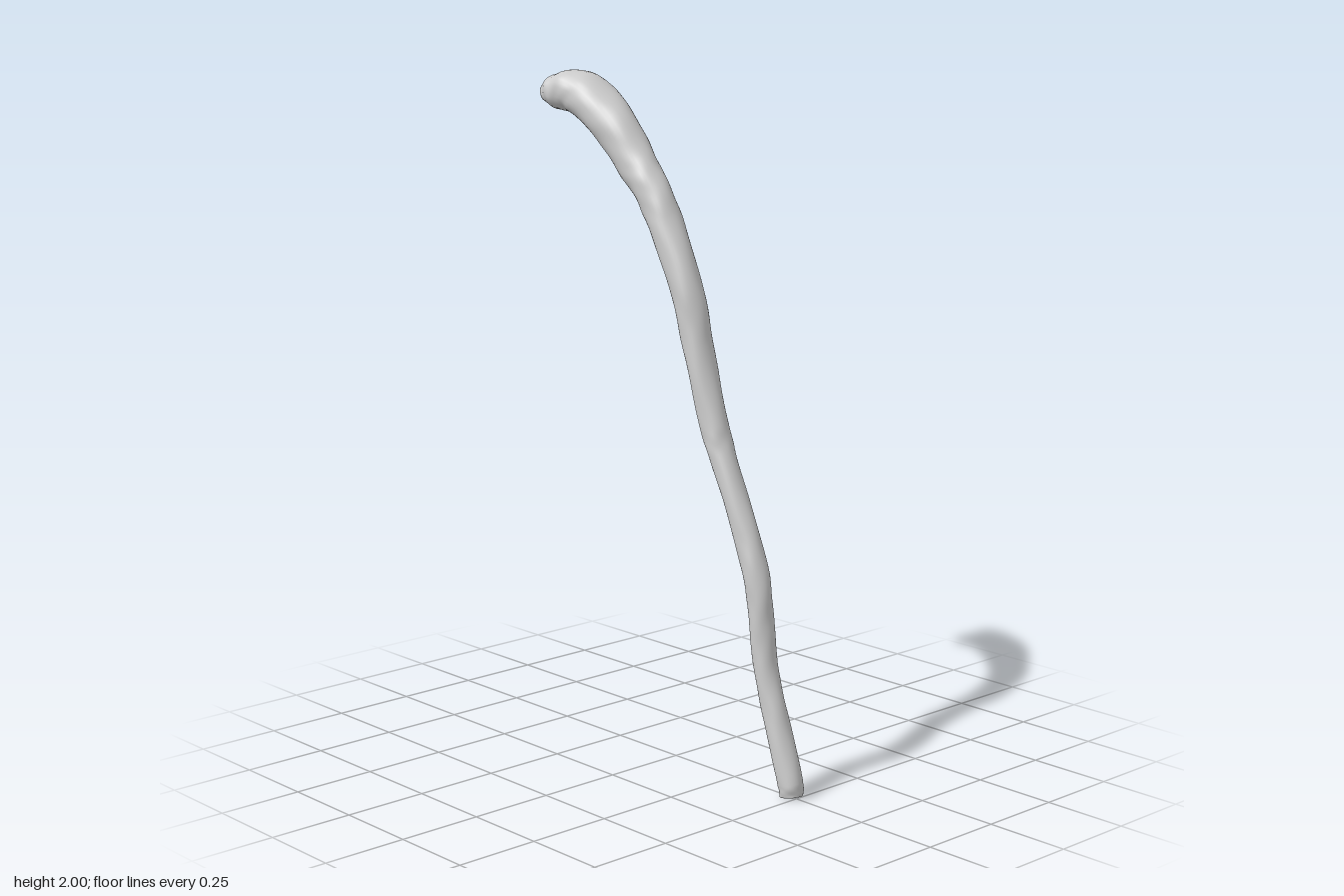
import * as THREE from 'three';

// Stations along the stick: centre z, centre y, half depth, half width
const STATIONS = [
  [0.481, 0.006, 0.033, 0.033],
  [0.476, 0.04, 0.037, 0.037],
  [0.420, 0.208, 0.035, 0.036],
  [0.375, 0.355, 0.034, 0.036],
  [0.357, 0.48, 0.034, 0.037],
  [0.337, 0.605, 0.038, 0.037],
  [0.290, 0.733, 0.037, 0.037],
  [0.198, 0.935, 0.036, 0.039],
  [0.163, 1.015, 0.041, 0.042],
  [0.095, 1.235, 0.040, 0.046],
  [0.051, 1.385, 0.047, 0.048],
  [-0.040, 1.575, 0.050, 0.050],
  [-0.100, 1.67, 0.054, 0.052],
  [-0.162, 1.738, 0.058, 0.056],
  [-0.257, 1.842, 0.064, 0.068],
  [-0.369, 1.921, 0.061, 0.078],
  [-0.433, 1.938, 0.062, 0.083],
  [-0.480, 1.935, 0.053, 0.087],
  [-0.498, 1.931, 0.042, 0.080],
];
const RINGS = 180, SIDES = 32;

function createShaft() {
  const path = new THREE.CatmullRomCurve3(STATIONS.map(([z, y]) => new THREE.Vector3(0, y, z)));
  const sizes = new THREE.SplineCurve(STATIONS.map(([, , depth, width]) => new THREE.Vector2(depth, width)));
  const positions = [], index = [];

  // One ring square to the path, shrunk for the end caps
  function addRing(t, shrink) {
    const centre = path.getPoint(t), along = path.getTangent(t), size = sizes.getPoint(t);
    // The flared head is slightly squarer than the round shaft
    const power = 1 - 0.15 * THREE.MathUtils.smoothstep(t, 0.7, 0.95);
    for (let j = 0; j < SIDES; j++) {
      const a = j / SIDES * Math.PI * 2, c = Math.cos(a), s = Math.sin(a);
      // Gentle knots and dents of worn wood
      const r = shrink * (1 + 0.018 * Math.sin(t * 61 + 2 * a) + 0.016 * Math.sin(t * 97 - 3 * a + 1)
        + 0.01 * Math.sin(t * 149 + 5 * a));
      const u = Math.sign(c) * Math.abs(c) ** power * r * size.x;
      const v = Math.sign(s) * Math.abs(s) ** power * r * size.y;
      positions.push(v, THREE.MathUtils.clamp(centre.y - along.z * u, 0, 2), centre.z + along.y * u);
    }
  }

  for (const shrink of [0.01, 0.5, 0.85]) addRing(0, shrink);
  for (let i = 0; i <= RINGS; i++) addRing(i / RINGS, 1);
  for (const shrink of [0.85, 0.5, 0.01]) addRing(1, shrink);

  // Join neighbouring rings
  const rows = positions.length / 3 / SIDES;
  for (let i = 0; i < rows - 1; i++) {
    for (let j = 0; j < SIDES; j++) {
      const a = i * SIDES + j, b = i * SIDES + (j + 1) % SIDES, c = a + SIDES, d = b + SIDES;
      index.push(a, b, d, a, d, c);
    }
  }
  const geometry = new THREE.BufferGeometry();
  geometry.setAttribute('position', new THREE.Float32BufferAttribute(positions, 3));
  geometry.setIndex(index);
  geometry.computeVertexNormals();
  return geometry;
}

export function createModel() {
  const group = new THREE.Group();
  group.name = 'curvedStick';
  const shaft = new THREE.Mesh(createShaft(), new THREE.MeshStandardMaterial({ color: 0xcccccc }));
  shaft.name = 'shaft';
  group.add(shaft);
  return group;
}
